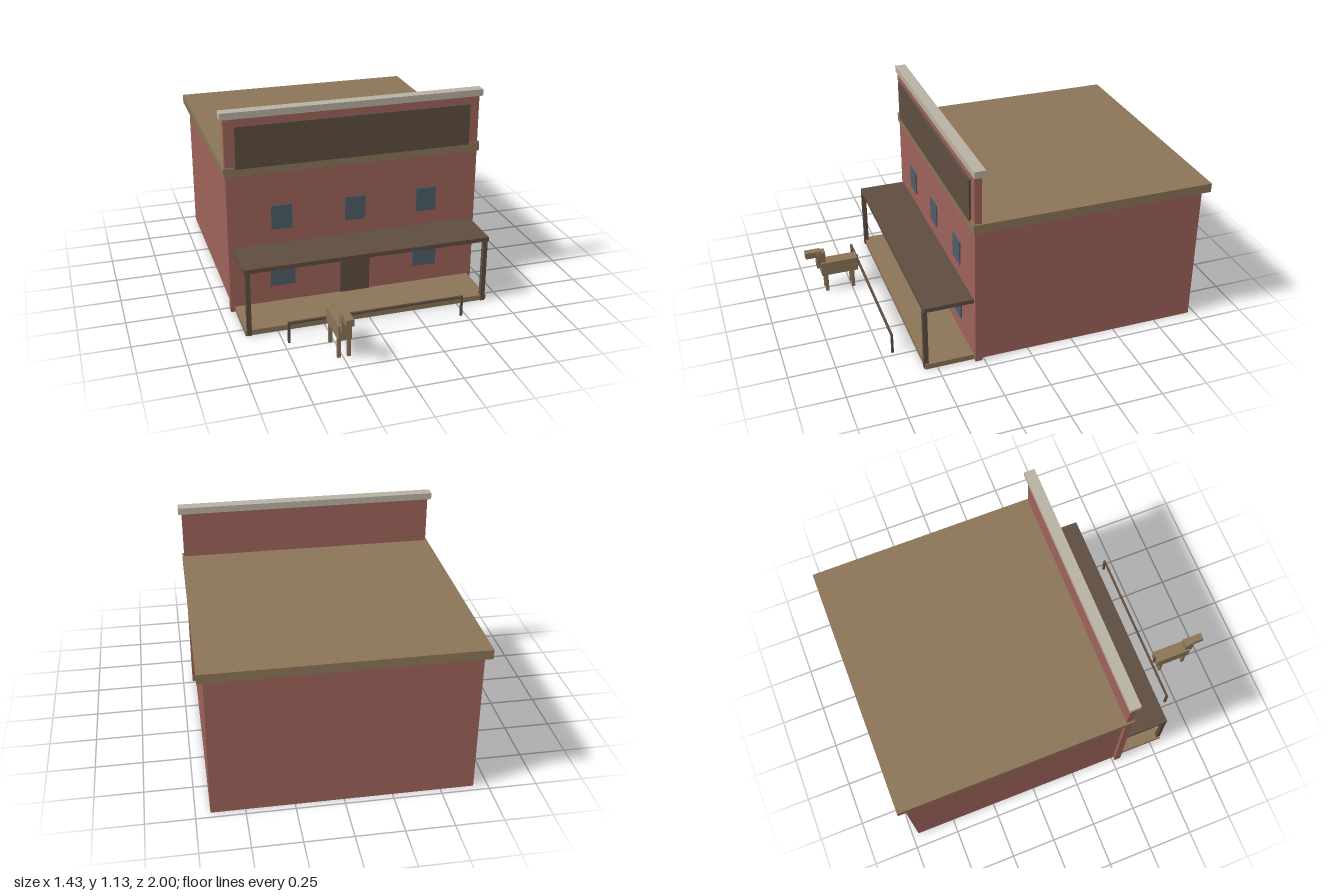
import * as THREE from 'three';

const material = (name, color) => {
  const m = new THREE.MeshStandardMaterial({ color });
  m.name = name;
  return m;
};

export function createModel() {
  const brick = material('brick red', 0x9d625a);
  const tan = material('tan wood', 0x8b7458);
  const dark = material('dark wood', 0x5e4d3f);
  const stone = material('pale stone', 0xb8b1a2);
  const glass = material('window glass', 0x4d5c67);

  // Box given by its extents along each axis
  const box = (parent, name, mat, [x0, x1], [y0, y1], [z0, z1]) => {
    const mesh = new THREE.Mesh(new THREE.BoxGeometry(x1 - x0, y1 - y0, z1 - z0), mat);
    mesh.position.set((x0 + x1) / 2, (y0 + y1) / 2, (z0 + z1) / 2);
    mesh.name = name;
    parent.add(mesh);
    return mesh;
  };
  const span = (c, size) => [c - size / 2, c + size / 2];
  const group = (parent, name) => {
    const g = new THREE.Group();
    g.name = name;
    parent.add(g);
    return g;
  };

  const model = new THREE.Group();
  model.name = 'storefront';

  // Main block, tall false front and roof
  const building = group(model, 'building');
  box(building, 'mainBlock', brick, [-0.675, 0.675], [0, 0.785], [-0.965, 0.262]);
  box(building, 'falseFront', brick, [-0.695, 0.695], [0, 1.09], [0.262, 0.3]);
  box(building, 'roof', tan, [-0.705, 0.705], [0.78, 0.83], [-1, 0.307]);
  box(building, 'cornice', stone, [-0.713, 0.713], [1.09, 1.126], [0.247, 0.307]);
  box(building, 'signBoard', dark, [-0.641, 0.641], [0.822, 1.05], [0.299, 0.312]);

  // Door and windows
  box(building, 'door', dark, [-0.083, 0.083], [0.03, 0.302], [0.299, 0.307]);
  for (const x of [-0.405, 0, 0.405])
    box(building, 'upperWindow', glass, span(x, 0.113), [0.46, 0.595], [0.299, 0.307]);
  for (const x of [-0.405, 0.405])
    box(building, 'lowerWindow', glass, span(x, 0.136), [0.126, 0.273], [0.299, 0.307]);

  // Porch
  const porch = group(model, 'porch');
  box(porch, 'deck', tan, [-0.672, 0.672], [0, 0.03], [0.3, 0.565]);
  box(porch, 'awning', dark, [-0.672, 0.672], [0.355, 0.378], [0.3, 0.566]);
  for (const x of [-0.652, 0.652])
    box(porch, 'porchPost', dark, span(x, 0.024), [0, 0.357], [0.545, 0.57]);

  // Hitching rail
  const hitch = group(model, 'hitchingRail');
  box(hitch, 'rail', dark, [-0.479, 0.479], [0.106, 0.118], span(0.689, 0.012));
  for (const x of [-0.473, 0.473])
    box(hitch, 'railPost', dark, span(x, 0.012), [0, 0.107], span(0.689, 0.012));

  // Horse
  const horse = group(model, 'horse');
  const hx = -0.245;
  box(horse, 'body', tan, span(hx, 0.07), [0.107, 0.188], [0.708, 0.918]);
  box(horse, 'neck', tan, span(hx, 0.048), [0.154, 0.254], [0.889, 0.94]);
  box(horse, 'head', tan, span(hx, 0.04), [0.226, 0.263], [0.912, 1]);
  box(horse, 'tail', dark, span(hx, 0.012), [0.11, 0.186], [0.699, 0.709]);
  for (const x of [hx - 0.026, hx + 0.026])
    for (const z of [0.741, 0.893])
      box(horse, 'leg', tan, span(x, 0.018), [0, 0.108], span(z, 0.018));

  return model;
}
